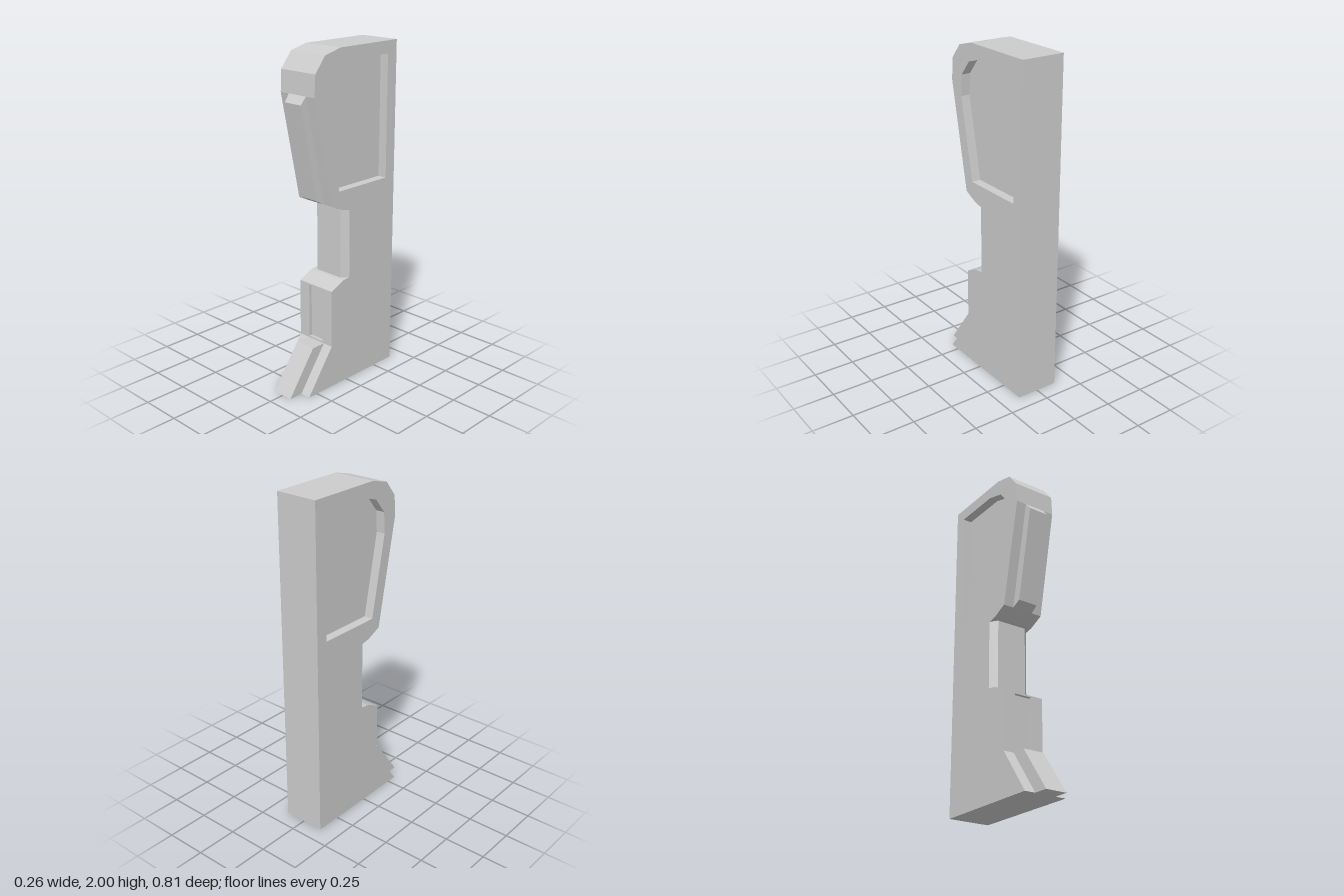
import * as THREE from 'three';

const material = new THREE.MeshStandardMaterial({ color: 0xcccccc, flatShading: true });

// Closed outline from [a, b] points
const points = (list) => list.map(([a, b]) => new THREE.Vector2(a, b));

// Extrude a (z, y) outline across the width from x0 to x1
function slab(outline, x0, x1, hole) {
  const shape = new THREE.Shape(points(outline));
  if (hole) shape.holes.push(new THREE.Path(points(hole)));
  const geometry = new THREE.ExtrudeGeometry(shape, { depth: x1 - x0, bevelEnabled: false });
  return geometry.rotateY(-Math.PI / 2).translate(x1, 0, 0);
}

export function createModel() {
  const group = new THREE.Group();
  const add = (name, geometry) => {
    const mesh = new THREE.Mesh(geometry, material);
    mesh.name = name;
    group.add(mesh);
  };

  const halfWidth = 0.13, plateInner = 0.075, slotHalf = 0.055;

  // Side silhouette, split at the lower front so the slot can be cut in
  const foot = [[-0.403, 0], [0.313, 0], [0.125, 0.26]];
  const upper = [
    [0.125, 0.61], [0.033, 0.652], [-0.022, 0.66], [-0.022, 1.073], [0.033, 1.083],
    [0.125, 1.125], [0.256, 1.755], [0.249, 1.88], [0.176, 1.97], [0.058, 2], [-0.403, 2],
  ];
  const slot = [[0.125, 0.27], [0.105, 0.27], [0.105, 0.6], [0.125, 0.6]];
  const silhouette = [...foot, ...upper];
  const window = [
    [-0.33, 1.2], [0.065, 1.2], [0.165, 1.68], [0.157, 1.805],
    [0.085, 1.892], [-0.03, 1.927], [-0.33, 1.927],
  ];

  // Core with the front slot, then the solid layers and windowed side plates
  add('core', slab([...foot, ...slot, ...upper], -slotHalf, slotHalf));
  for (const [side, s] of [['left', 1], ['right', -1]]) {
    const layer = (a, b, hole) => slab(silhouette, Math.min(s * a, s * b), Math.max(s * a, s * b), hole);
    add(`${side}InnerLayer`, layer(slotHalf, plateInner));
    add(`${side}SidePlate`, layer(plateInner, halfWidth, window));
  }

  // Neck front with chamfered corners
  const neck = new THREE.ExtrudeGeometry(
    new THREE.Shape(points([[-0.13, -0.022], [0.13, -0.022], [0.094, 0.016], [-0.094, 0.016]])),
    { depth: 0.42, bevelEnabled: false });
  add('neckFront', neck.rotateX(Math.PI / 2).translate(0, 1.077, 0));

  // Raised head rib, slightly narrower at its outer face
  const rib = slab([[0.125, 1.125], [0.177, 1.155], [0.291, 1.712], [0.256, 1.755]], -0.066, 0.066);
  const pos = rib.attributes.position;
  for (let i = 0; i < pos.count; i++) {
    const baseZ = 0.125 + (pos.getY(i) - 1.125) * 0.208;
    if (pos.getZ(i) - baseZ > 0.02) pos.setX(i, pos.getX(i) * 0.93);
  }
  rib.computeVertexNormals();
  add('headRib', rib);

  // Sloped rib on the foot
  add('footRib', slab([[0.125, 0.26], [0.313, 0], [0.403, 0], [0.215, 0.26]], -0.065, 0.065));

  return group;
}
